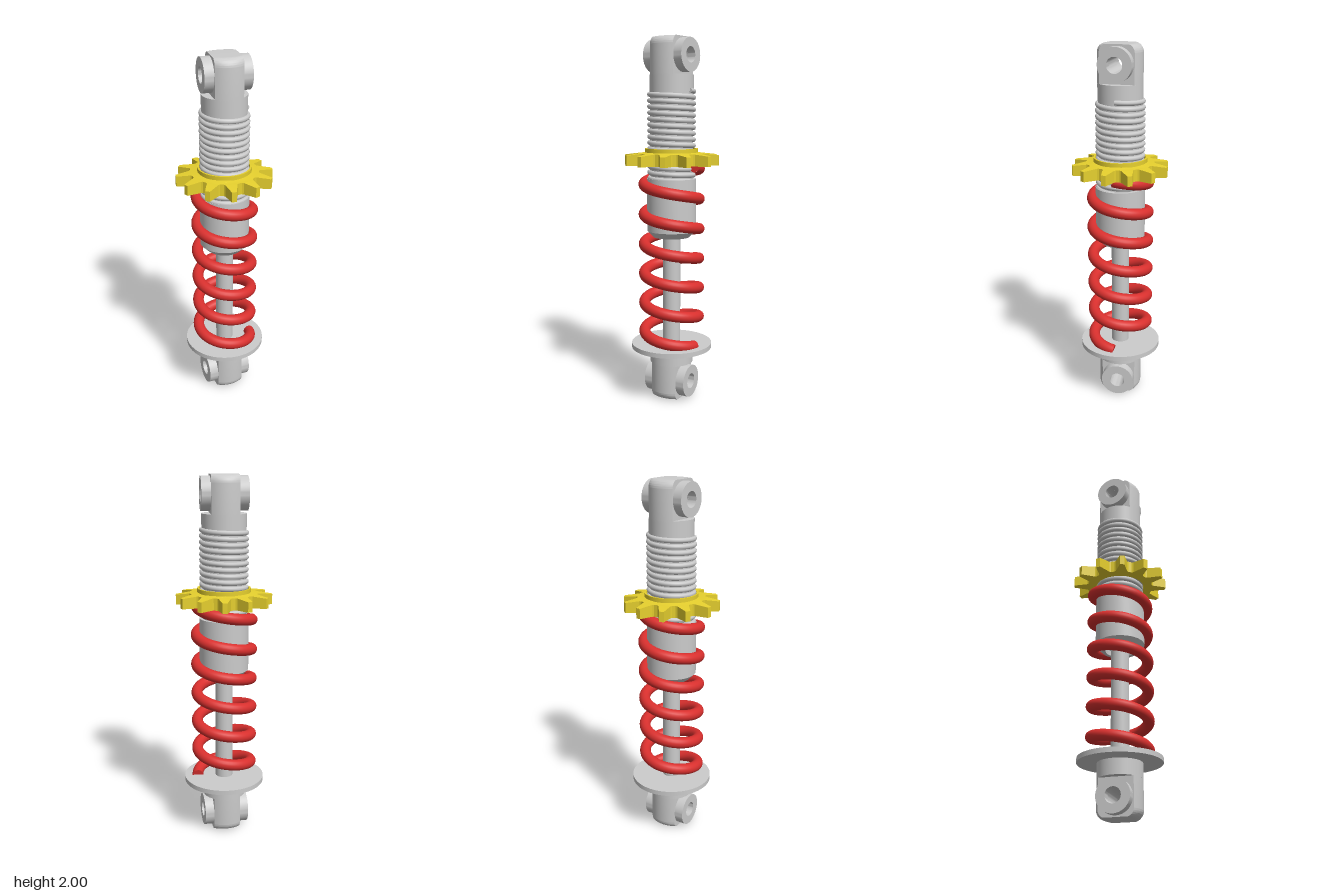
import * as THREE from 'three';
import { toCreasedNormals } from 'three/addons/utils/BufferGeometryUtils.js';

const grey = new THREE.MeshStandardMaterial({ color: 0xcccccc });
const red = new THREE.MeshStandardMaterial({ color: 0xd9302e });
const yellow = new THREE.MeshStandardMaterial({ color: 0xe6d02e });

function add(parent, name, geometry, material = grey) {
  const mesh = new THREE.Mesh(geometry, material);
  mesh.name = name;
  parent.add(mesh);
  return mesh;
}

// Turned part: outline given as [radius, y] pairs, outer side running upwards
function turned(points, segments = 64) {
  const outline = points.map(([r, y]) => new THREE.Vector2(r, y));
  return toCreasedNormals(new THREE.LatheGeometry(outline, segments), 0.5);
}

class Helix extends THREE.Curve {
  constructor(radius, bottom, top, turns) {
    super();
    Object.assign(this, { radius, bottom, top, turns });
  }
  getPoint(t, target = new THREE.Vector3()) {
    const a = t * this.turns * Math.PI * 2;
    const y = this.bottom + (this.top - this.bottom) * t;
    return target.set(this.radius * Math.cos(a), y, this.radius * Math.sin(a));
  }
}

// Coiled wire with flat cut ends
function coil(name, curve, wire, sides, material) {
  const group = new THREE.Group();
  group.name = name;
  add(group, name + 'Wire', new THREE.TubeGeometry(curve, curve.turns * 48, wire, sides), material);
  for (const t of [0, 1]) {
    const end = add(group, name + 'End', new THREE.CircleGeometry(wire, sides), material);
    const p = curve.getPoint(t);
    end.position.copy(p);
    end.lookAt(p.addScaledVector(curve.getTangent(t), t ? 1 : -1));
  }
  return group;
}

const R = 0.12;        // mount radius
const PIN = 0.102;     // height of the pin hole in the mount
const HOLE = 0.042;
const HALF = 0.075;    // half thickness of the lug

// Mounting eye: round base, flat-sided lug with a through hole, a boss each side
function mountingEye(name, baseHeight) {
  const eye = new THREE.Group();
  eye.name = name;
  const base = add(eye, 'eyeBase', new THREE.CylinderGeometry(R, R, baseHeight, 64));
  base.position.y = -baseHeight / 2;

  const top = 0.2, f = 0.045;
  const side = new THREE.Shape();
  side.moveTo(-R, -0.01);
  side.lineTo(R, -0.01);
  side.lineTo(R, top - f);
  side.absarc(R - f, top - f, f, 0, Math.PI / 2);
  side.absarc(f - R, top - f, f, Math.PI / 2, Math.PI);
  side.closePath();
  side.holes.push(new THREE.Path().absarc(0, PIN, HOLE, 0, Math.PI * 2, true));
  const lug = new THREE.ExtrudeGeometry(side, { depth: 2 * HALF, steps: 12, bevelEnabled: false, curveSegments: 20 });
  lug.translate(0, 0, -HALF);
  // Bend the outer faces round so the lug is a slice of a cylinder
  const p = lug.attributes.position;
  for (let i = 0; i < p.count; i++) {
    if (Math.hypot(p.getX(i), p.getY(i) - PIN) < HOLE + 0.005) continue;
    p.setX(i, p.getX(i) * Math.sqrt(1 - (p.getZ(i) / R) ** 2));
  }
  lug.rotateY(Math.PI / 2);
  add(eye, 'eyeLug', toCreasedNormals(lug, 0.5));

  for (const s of [1, -1]) {
    const boss = add(eye, 'eyeBoss', turned([
      [HOLE, HALF - 0.005], [0.09, HALF - 0.005], [0.09, 0.125], [HOLE, 0.125], [HOLE, HALF - 0.005],
    ]));
    boss.rotation.z = -s * Math.PI / 2;
    boss.position.y = PIN;
  }
  return eye;
}

// Toothed adjuster ring with a thin collar
function adjuster() {
  const group = new THREE.Group();
  group.name = 'adjuster';
  const teeth = 12, step = Math.PI * 2 / teeth, shape = new THREE.Shape();
  const corners = [[-9.5, 0.19], [-2.8, 0.261], [2.8, 0.261], [9.5, 0.19], [12, 0.184], [18, 0.184]];
  for (let i = 0; i < teeth; i++) {
    for (const [deg, r] of corners) {
      const a = i * step + THREE.MathUtils.degToRad(deg - 4.8);
      const x = r * Math.cos(a), y = r * Math.sin(a);
      if (shape.curves.length || shape.currentPoint.length()) shape.lineTo(x, y);
      else shape.moveTo(x, y);
    }
  }
  shape.closePath();
  shape.holes.push(new THREE.Path().absarc(0, 0, 0.135, 0, Math.PI * 2, true));
  const gear = new THREE.ExtrudeGeometry(shape, { depth: 0.07, bevelEnabled: false, curveSegments: 48 });
  gear.rotateX(-Math.PI / 2);
  // The top falls slightly towards the tooth tips
  const p = gear.attributes.position;
  for (let i = 0; i < p.count; i++) {
    const r = Math.hypot(p.getX(i), p.getZ(i));
    if (p.getY(i) > 0.03) p.setY(i, 0.07 - 0.12 * (r - 0.135));
  }
  add(group, 'adjusterTeeth', toCreasedNormals(gear, 0.3), yellow);
  add(group, 'adjusterCollar', turned([[0.145, 0.05], [0.145, 0.09], [0.135, 0.09], [0.135, 0.05]]), yellow);
  group.position.y = 1.315;
  return group;
}

export function createModel() {
  const model = new THREE.Group();
  model.name = 'shockAbsorber';

  // Mounts at both ends, the lower one turned a little about the axis
  const upper = mountingEye('upperMount', 0.09);
  upper.position.y = 1.8;
  const lower = mountingEye('lowerMount', 0.09);
  lower.position.y = 0.2;
  lower.rotation.set(0, 0.1, Math.PI);
  model.add(upper, lower);

  // Damper body with a recessed mouth, and its threaded neck
  add(model, 'damperBody', turned([
    [0.045, 0.945], [0.08, 0.945], [0.08, 0.915], [0.1, 0.915], [0.135, 0.95],
    [0.135, 1.24], [0.118, 1.24], [0.118, 1.72],
  ]));
  model.add(coil('thread', new Helix(0.12, 1.23, 1.715, 15), 0.0135, 8, grey));

  // Piston rod and spring seat
  const rod = add(model, 'pistonRod', new THREE.CylinderGeometry(0.049, 0.049, 0.66, 40));
  rod.position.y = 0.63;
  const seat = add(model, 'springSeat', new THREE.CylinderGeometry(0.225, 0.225, 0.026, 80));
  seat.position.y = 0.297;

  model.add(coil('spring', new Helix(0.152, 0.31, 1.31, 6), 0.031, 20, red));
  model.add(adjuster());
  return model;
}
